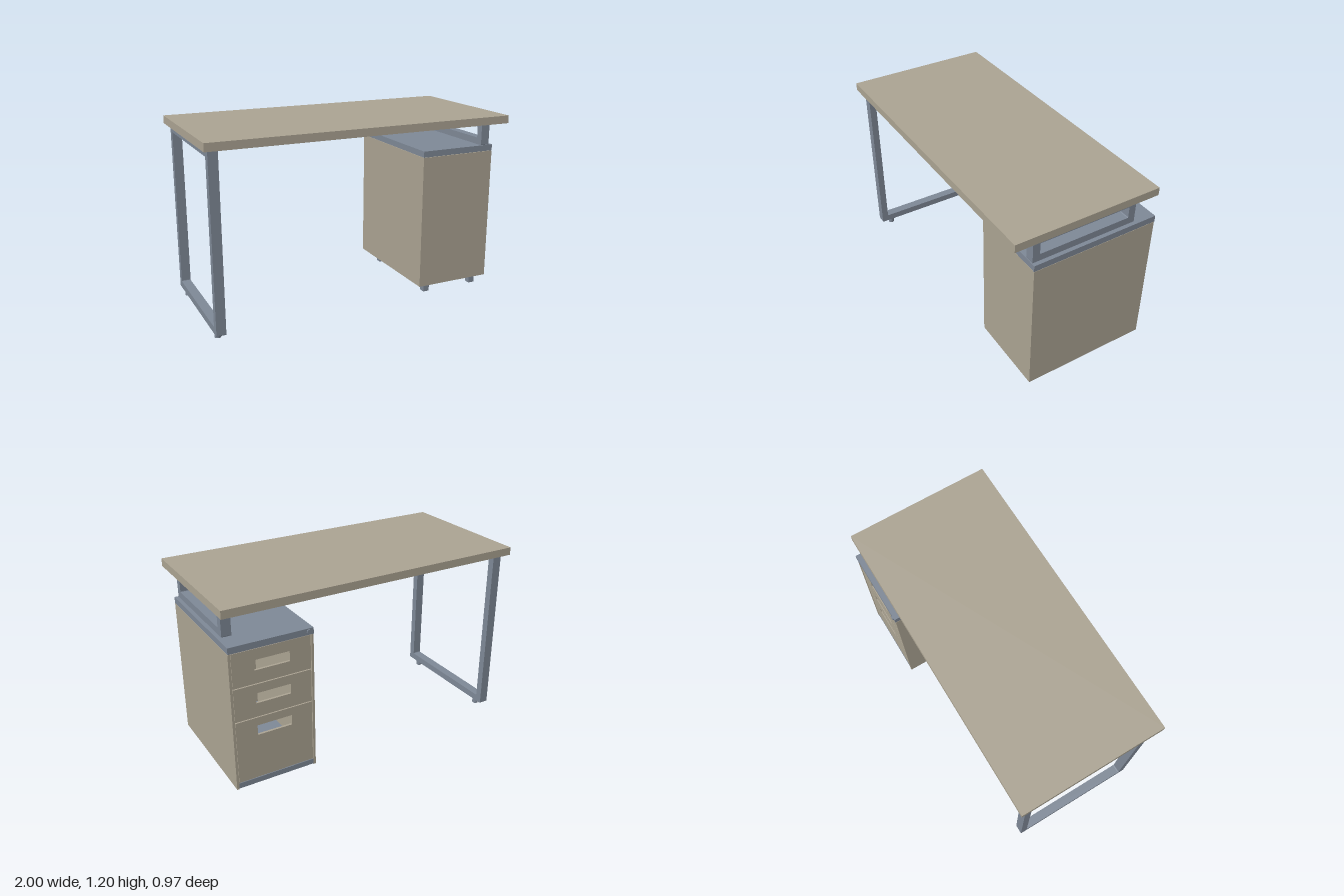
import * as THREE from 'three';

const wood = new THREE.MeshStandardMaterial({ color: 0xaca493 });
wood.name = 'greige wood';
const steel = new THREE.MeshStandardMaterial({ color: 0x7f8997 });
steel.name = 'blue-grey steel';

function add(group, name, geometry, material) {
  const mesh = new THREE.Mesh(geometry, material);
  mesh.name = name;
  group.add(mesh);
  return mesh;
}

// Box given by its limits on each axis
function box(group, name, material, [x0, x1], [y0, y1], [z0, z1]) {
  const mesh = add(group, name, new THREE.BoxGeometry(x1 - x0, y1 - y0, z1 - z0), material);
  mesh.position.set((x0 + x1) / 2, (y0 + y1) / 2, (z0 + z1) / 2);
  return mesh;
}

// Traces a rectangle with softened corners
function roundRect(path, x0, x1, y0, y1, r) {
  path.moveTo(x0 + r, y0);
  path.lineTo(x1 - r, y0);
  path.quadraticCurveTo(x1, y0, x1, y0 + r);
  path.lineTo(x1, y1 - r);
  path.quadraticCurveTo(x1, y1, x1 - r, y1);
  path.lineTo(x0 + r, y1);
  path.quadraticCurveTo(x0, y1, x0, y1 - r);
  path.lineTo(x0, y0 + r);
  path.quadraticCurveTo(x0, y0, x0 + r, y0);
  return path;
}

// Rectangular tube frame standing in the z-y plane
function tubeFrame(group, name, [x0, x1], [y0, y1], [z0, z1], t) {
  const shape = roundRect(new THREE.Shape(), z0, z1, y0, y1, 0.006);
  shape.holes.push(roundRect(new THREE.Path(), z0 + t, z1 - t, y0 + t, y1 - t, 0.006));
  const geometry = new THREE.ExtrudeGeometry(shape, { depth: x1 - x0, bevelEnabled: false, curveSegments: 3 });
  const mesh = add(group, name, geometry, steel);
  mesh.rotation.y = -Math.PI / 2;
  mesh.position.x = x1;
}

export function createModel() {
  const desk = new THREE.Group();
  desk.name = 'desk';

  box(desk, 'desktop', wood, [-1, 1], [1.15, 1.2], [-0.46, 0.485]);

  // Open leg frame with two levelling feet
  tubeFrame(desk, 'legFrame', [-0.97, -0.91], [0.04, 1.15], [-0.41, 0.44], 0.045);
  for (const z of [-0.325, 0.36]) {
    const foot = add(desk, 'legFoot', new THREE.CylinderGeometry(0.02, 0.02, 0.04, 16), steel);
    foot.position.set(-0.94, 0.02, z);
  }

  // Riser frame between cabinet and desktop
  tubeFrame(desk, 'riserFrame', [0.9, 0.96], [0.985, 1.15], [-0.34, 0.345], 0.046);

  // Hollow cabinet, drawers facing the back
  const cabinet = new THREE.Group();
  cabinet.name = 'cabinet';
  desk.add(cabinet);
  const X0 = 0.46, X1 = 0.985, Z0 = -0.475, Z1 = 0.35, t = 0.015;
  box(cabinet, 'cabinetLid', steel, [X0, X1], [0.947, 0.987], [Z0 - 0.003, Z1]);
  box(cabinet, 'leftPanel', wood, [X1 - t, X1], [0.06, 0.945], [Z0, Z1]);
  box(cabinet, 'rightPanel', wood, [X0, X0 + t], [0.06, 0.945], [Z0, Z1]);
  box(cabinet, 'frontPanel', wood, [X0 + t, X1 - t], [0.06, 0.945], [Z1 - t, Z1]);
  box(cabinet, 'cabinetFloor', steel, [X0 + t, X1 - t], [0.062, 0.097], [Z0 + 0.003, Z1 - t]);

  // Drawer fronts with a slot handle: bottom, top, slot bottom
  const drawers = [[0.727, 0.942, 0.81], [0.512, 0.721, 0.6], [0.101, 0.506, 0.39]];
  for (const [y0, y1, slot] of drawers) {
    const shape = roundRect(new THREE.Shape(), X0 + t + 0.003, X1 - t - 0.003, y0, y1, 0.001);
    const mid = (X0 + X1) / 2;
    shape.holes.push(roundRect(new THREE.Path(), mid - 0.11, mid + 0.11, slot, slot + 0.064, 0.001));
    const geometry = new THREE.ExtrudeGeometry(shape, { depth: t, bevelEnabled: false, curveSegments: 1 });
    add(cabinet, 'drawerFront', geometry, wood).position.z = Z0 + 0.003;
  }

  // Lock on the lid edge
  const lock = add(cabinet, 'lock', new THREE.CylinderGeometry(0.015, 0.015, 0.012, 20), steel);
  lock.rotation.x = Math.PI / 2;
  lock.position.set(0.49, 0.967, -0.479);

  // Cabinet feet
  for (const x of [0.535, 0.903])
    for (const z of [-0.325, 0.295])
      box(cabinet, 'cabinetFoot', steel, [x - 0.021, x + 0.021], [0.003, 0.062], [z - 0.021, z + 0.021]);

  return desk;
}
